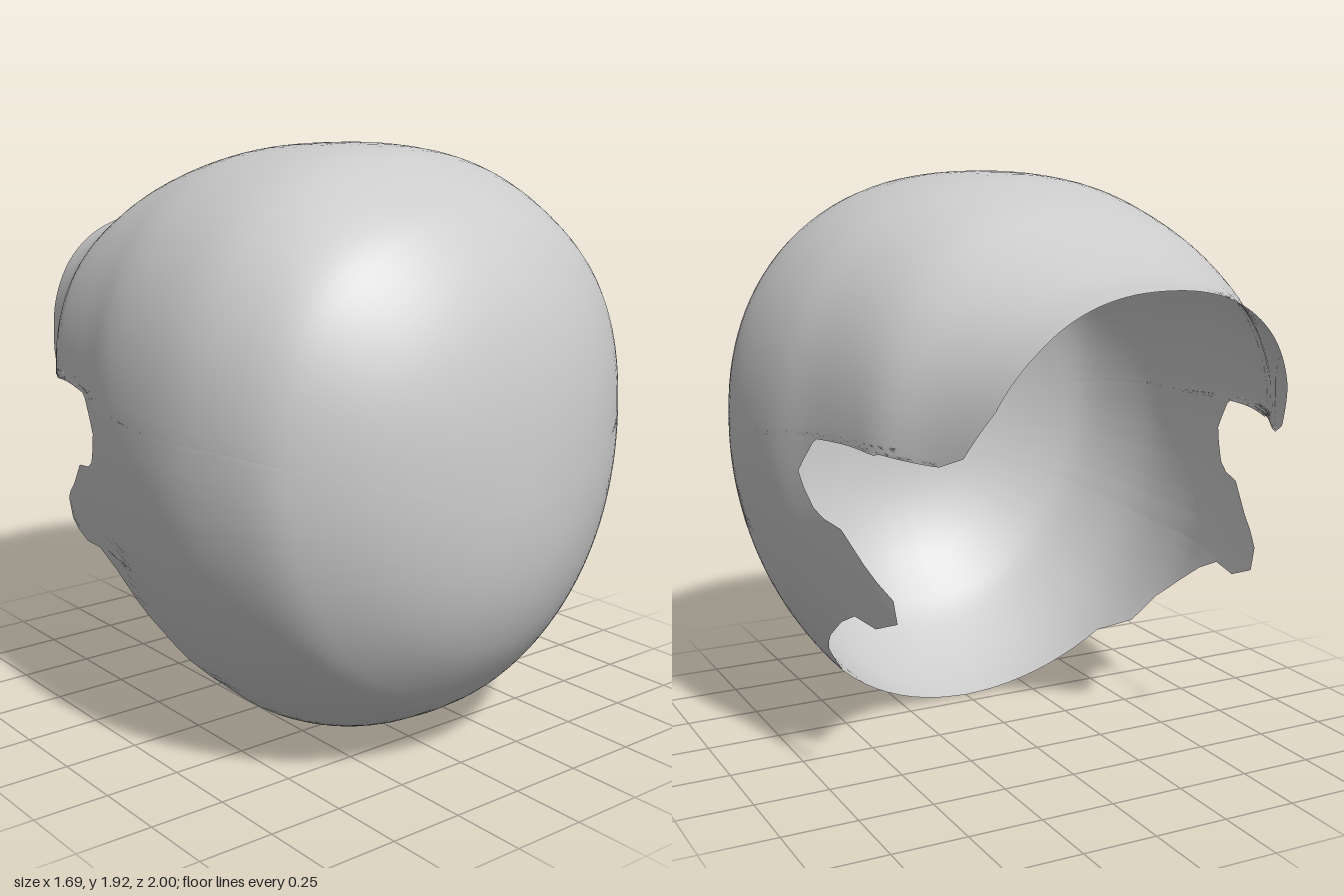
import * as THREE from 'three';
import { mergeVertices } from 'three/addons/utils/BufferGeometryUtils.js';

// Cross-sections from front to back: z, half width, top y, bottom y, y of widest point.
// The first row mirrors the second section through the front pole, to round it off.
const SECTIONS = [
  [0.975, -0.24, 0.6, 1.18, 0.9],
  [1.0, 0, 0.88, 0.88, 0.88],
  [0.975, 0.24, 1.22, 0.63, 0.93],
  [0.9, 0.46, 1.48, 0.43, 0.98],
  [0.78, 0.645, 1.675, 0.265, 1.02],
  [0.66, 0.75, 1.78, 0.155, 1.04],
  [0.45, 0.825, 1.885, 0.04, 1.05],
  [0.25, 0.845, 1.918, -0.015, 1.05],
  [0, 0.825, 1.912, -0.04, 1.07],
  [-0.2, 0.77, 1.88, -0.1, 1.1],
  [-0.4, 0.725, 1.82, -0.2, 1.12],
  [-0.55, 0.685, 1.75, -0.3, 1.12],
  [-0.7, 0.6, 1.69, -0.3, 1.12],
  [-0.85, 0.53, 1.64, -0.3, 1.14],
  [-1.0, 0.47, 1.615, -0.3, 1.15],
];
const LAST = SECTIONS.length - 2;

// Open edge of one side as z, y: neck rim, ear notch, jaw flap, chin.
const EDGE = [
  [-1, 1.615], [-0.965, 1.46], [-0.91, 1.3], [-0.82, 1.16], [-0.74, 1.125], [-0.62, 1.16],
  [-0.53, 1.13], [-0.46, 1.165], [-0.38, 1.18], [-0.3, 1.17], [-0.22, 1.12], [-0.17, 1.06],
  [-0.14, 1.02], [-0.16, 0.97], [-0.2, 0.91], [-0.25, 0.885], [-0.34, 0.87], [-0.44, 0.78],
  [-0.56, 0.695], [-0.56, 0.62], [-0.43, 0.57], [-0.31, 0.58], [-0.2, 0.53], [-0.08, 0.45],
  [0.02, 0.37], [0.08, 0.27], [0.22, 0.2], [0.31, 0],
];

// Smoothly interpolated section at depth s (0 = front pole)
function section(s) {
  const i = Math.min(Math.floor(s), LAST - 1), t = s - i;
  const row = k => SECTIONS[Math.min(k, SECTIONS.length - 1)];
  const [a, b, c, d] = [row(i), row(i + 1), row(i + 2), row(i + 3)];
  return b.map((v, k) => v + 0.5 * t * (c[k] - a[k]
    + t * (2 * a[k] - 5 * v + 4 * c[k] - d[k] + t * (3 * (v - c[k]) + d[k] - a[k]))));
}

const power = up => (up ? 2.3 : 2);

// Point on the shell at depth s and angle phi (0 = top, PI = bottom)
function shellPoint(s, phi, side) {
  const [z, w, top, bottom, mid] = section(s);
  const sin = Math.sin(phi), cos = Math.cos(phi), p = power(cos > 0);
  const r = 1 / Math.pow(Math.abs(sin) ** p + Math.abs(cos) ** p, 1 / p);
  return [side * w * r * sin, mid + (cos > 0 ? top - mid : mid - bottom) * r * cos, z];
}

// Depth and angle of a shell point known by its z and y
function locate(z, y) {
  let lo = 0, hi = LAST;
  for (let k = 0; k < 40; k++) {
    const m = (lo + hi) / 2;
    if (section(m)[0] > z) lo = m; else hi = m;
  }
  const [, , top, bottom, mid] = section(hi);
  const c = THREE.MathUtils.clamp(y > mid ? (y - mid) / (top - mid) : (y - mid) / (mid - bottom), -1, 1);
  const p = power(c > 0);
  return { s: hi, phi: Math.atan2(Math.pow(1 - Math.abs(c) ** p, 1 / p), c) };
}

// Edge resampled, with ease-out from the middle line at both ends
function sampleEdge() {
  const out = [];
  const ends = EDGE.length - 2;
  for (let k = 0; k <= ends; k++) {
    const [z0, y0] = EDGE[k], [z1, y1] = EDGE[k + 1];
    const n = Math.max(2, Math.ceil(Math.abs(locate(z1, y1).phi - locate(z0, y0).phi) / 0.06));
    for (let j = 0; j < n; j++) {
      let t = j / n;
      if (k === 0) t = t * t;
      if (k === ends) t = 1 - (1 - t) ** 2;
      out.push(locate(z0 + (z1 - z0) * t, y0 + (y1 - y0) * t));
    }
  }
  out[0].phi = 0;
  out.push({ s: locate(0.31, 0).s, phi: Math.PI });
  return out;
}

function shellGeometry() {
  const edge = sampleEdge(), n = edge.length - 1, steps = 44;
  // Starting angles run evenly from top to bottom even where the edge doubles back
  const up = [], down = [];
  for (let i = 0; i <= n; i++) up[i] = Math.max(edge[i].phi, i ? up[i - 1] : 0);
  for (let i = n; i >= 0; i--) down[i] = Math.min(edge[i].phi, i < n ? down[i + 1] : Math.PI);
  const start = edge.map((_, i) => 0.475 * (up[i] + down[i]) + 0.05 * Math.PI * i / n);

  const positions = [], index = [];
  const lines = 2 * n;
  for (let l = 0; l <= lines; l++) {
    const i = l <= n ? l : lines - l, side = l <= n ? 1 : -1;
    for (let j = 0; j <= steps; j++) {
      const t = j / steps;
      const phi = start[i] + (edge[i].phi - start[i]) * t ** 4;
      positions.push(...shellPoint(edge[i].s * t, phi, side));
      if (l < lines && j < steps) {
        const a = l * (steps + 1) + j, b = a + steps + 1;
        index.push(a, b + 1, a + 1);
        if (j > 0) index.push(a, b, b + 1);
      }
    }
  }
  let geometry = new THREE.BufferGeometry();
  geometry.setAttribute('position', new THREE.Float32BufferAttribute(positions, 3));
  geometry.setIndex(index);
  geometry = mergeVertices(geometry, 1e-4);
  geometry.computeVertexNormals();
  return geometry;
}

export function createModel() {
  const group = new THREE.Group();
  group.name = 'openShell';
  const material = new THREE.MeshStandardMaterial({ color: 0xcccccc, side: THREE.DoubleSide });
  const shell = new THREE.Mesh(shellGeometry(), material);
  shell.name = 'maskShell';
  group.add(shell);
  return group;
}
